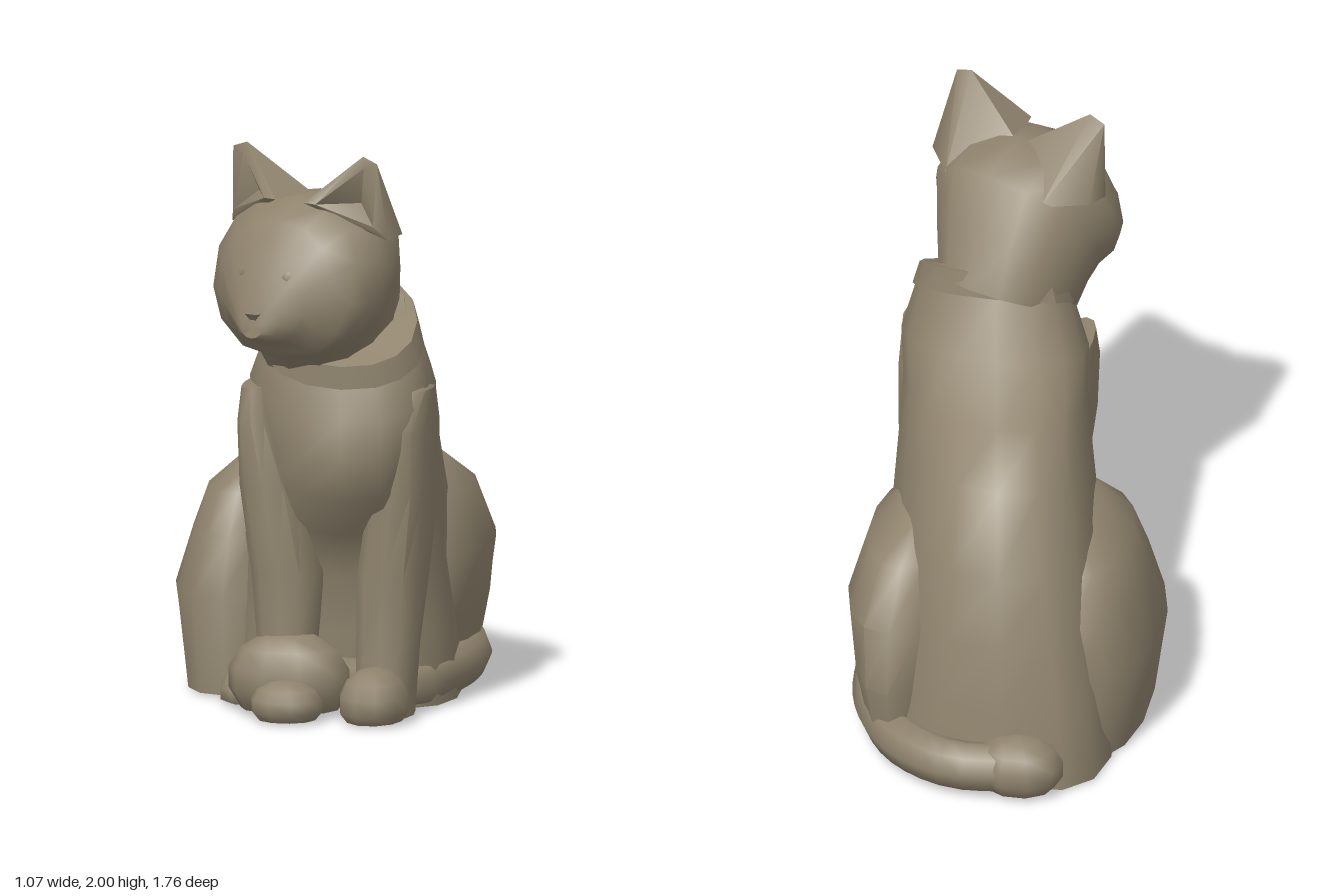
import * as THREE from 'three';
import { toCreasedNormals } from 'three/addons/utils/BufferGeometryUtils.js';

const stone = new THREE.MeshStandardMaterial({ color: 0x8f836d, side: THREE.DoubleSide });
stone.name = 'stone brown';

// Loft through oval rings. Each row: [za, ya, zb, yb, halfWidth, centreX, power];
// a and b are the two ends of the ring in the side plane, a lower power is boxier.
function loft(rows, { n = 14, shear = () => 0, crease = 0.8 } = {}) {
  const pos = [], idx = [];
  const add = (x, y, z) => pos.push(x + shear(z), y, z);
  for (const [za, ya, zb, yb, w, cx = 0, power = 0.9] of rows) {
    const sq = (v) => Math.sign(v) * Math.abs(v) ** power;
    for (let j = 0; j < n; j++) {
      const t = (j / n) * Math.PI * 2, s = sq(Math.sin(t)), c = sq(Math.cos(t));
      add(cx + w * s, (ya + yb) / 2 + ((yb - ya) / 2) * c, (za + zb) / 2 + ((zb - za) / 2) * c);
    }
  }
  for (let i = 0; i < rows.length - 1; i++) {
    for (let j = 0; j < n; j++) {
      const k = (j + 1) % n, a = i * n + j, b = i * n + k;
      idx.push(a, b, b + n, a, b + n, a + n);
    }
  }
  // end caps
  for (const i of [0, rows.length - 1]) {
    const [za, ya, zb, yb, , cx = 0] = rows[i];
    const centre = pos.length / 3;
    add(cx, (ya + yb) / 2, (za + zb) / 2);
    for (let j = 0; j < n; j++) {
      const a = i * n + j, b = i * n + ((j + 1) % n);
      if (i === 0) idx.push(centre, b, a);
      else idx.push(centre, a, b);
    }
  }
  const g = new THREE.BufferGeometry();
  g.setAttribute('position', new THREE.Float32BufferAttribute(pos, 3));
  g.setIndex(idx);
  return toCreasedNormals(g, crease);
}

// Upright loft rows: [y, centreX, centreZ, radiusX, radiusZ]
const upright = (rows, power, opts) =>
  loft(rows.map(([y, x, z, rx, rz]) => [z - rz, y, z + rz, y, rx, x, power]), opts);

function part(parent, name, geometry) {
  const mesh = new THREE.Mesh(geometry, stone);
  mesh.name = name;
  parent.add(mesh);
  return mesh;
}

// Low-poly ellipsoid, flattened where it would go below the ground
function blob(parent, name, [x, y, z], [rx, ry, rz]) {
  const g = new THREE.SphereGeometry(1, 10, 7);
  g.scale(rx, ry, rz).translate(x, y, z);
  const p = g.attributes.position;
  for (let i = 0; i < p.count; i++) p.setY(i, Math.max(p.getY(i), 0.01));
  return part(parent, name, g);
}

// Ear: full-backed shell with a hollow front
function earGeometry(side) {
  const pts = [
    [0.25, 2.0, 0.09], [0.31, 1.98, 0.09], [0.335, 1.71, 0.06],   // tip in, tip out, outer base
    [0.06, 1.83, 0.18], [0.2, 1.72, -0.14], [0.22, 1.83, 0.06],   // inner base, back base, pit
    [0.26, 1.96, 0.1], [0.3, 1.76, 0.1], [0.11, 1.83, 0.18],      // rim of the hollow
    [0.01, 1.83, 0.02], [0.33, 1.72, -0.03],                      // back inner, back outer
  ];
  const faces = [
    [0, 4, 1], [1, 4, 10], [1, 10, 2], [0, 3, 9], [0, 9, 4],                     // back
    [0, 1, 6], [1, 2, 7], [1, 7, 6], [0, 6, 8], [0, 8, 3], [2, 3, 8], [2, 8, 7], // rim
    [6, 7, 5], [7, 8, 5], [8, 6, 5],                                             // hollow
  ];
  const pos = [];
  for (const f of faces) {
    for (const i of side > 0 ? f : [...f].reverse()) pos.push(side * pts[i][0], pts[i][1], pts[i][2]);
  }
  const g = new THREE.BufferGeometry();
  g.setAttribute('position', new THREE.Float32BufferAttribute(pos, 3));
  return toCreasedNormals(g, 0.9);
}

export function createModel() {
  const cat = new THREE.Group();
  cat.name = 'sittingCat';
  const shear = (z) => 0.08 + 0.2 * z; // the spine runs slightly askew

  // torso, from the ground up to the neck
  part(cat, 'torso', loft([
    [-0.77, 0.01, 0.4, 0.01, 0.42, 0, 0.65],
    [-0.74, 0.3, 0.43, 0.28, 0.4, 0, 0.68],
    [-0.69, 0.52, 0.44, 0.48, 0.375, 0, 0.74],
    [-0.62, 0.76, 0.52, 0.64, 0.365, 0, 0.82],
    [-0.47, 1.02, 0.66, 0.78, 0.34],
    [-0.28, 1.16, 0.69, 0.92, 0.325],
    [0.0, 1.25, 0.66, 1.06, 0.33],
    [0.14, 1.42, 0.62, 1.18, 0.28],
    [0.18, 1.52, 0.6, 1.26, 0.23],
  ], { n: 16, shear, crease: 1 }));

  part(cat, 'collar', loft([
    [0.17, 1.41, 0.6, 1.18, 0.26],
    [0.14, 1.42, 0.64, 1.17, 0.29],
    [0.16, 1.51, 0.64, 1.25, 0.265],
    [0.2, 1.5, 0.6, 1.27, 0.23],
  ], { n: 16, shear, crease: 0.5 }));

  // haunches
  part(cat, 'leftHaunch', upright([
    [0.02, 0.33, -0.26, 0.12, 0.38], [0.28, 0.34, -0.26, 0.165, 0.42], [0.5, 0.34, -0.25, 0.2, 0.38],
    [0.7, 0.32, -0.21, 0.16, 0.3], [0.8, 0.3, -0.17, 0.08, 0.18], [0.82, 0.28, -0.16, 0.03, 0.08],
  ], 0.9));
  part(cat, 'rightHaunch', upright([
    [0.01, -0.29, -0.15, 0.2, 0.41], [0.35, -0.3, -0.17, 0.24, 0.42], [0.55, -0.29, -0.18, 0.19, 0.38],
    [0.7, -0.27, -0.16, 0.155, 0.3], [0.8, -0.23, -0.12, 0.08, 0.17], [0.83, -0.2, -0.1, 0.03, 0.08],
  ], 0.9));
  blob(cat, 'rightHindPaw', [-0.19, 0.04, 0.27], [0.11, 0.09, 0.2]);

  // front legs and paws
  part(cat, 'leftFrontLeg', upright([
    [0.01, 0.33, 0.48, 0.1, 0.13], [0.25, 0.335, 0.46, 0.11, 0.12], [0.5, 0.345, 0.42, 0.12, 0.17],
    [0.8, 0.375, 0.38, 0.11, 0.21], [1.02, 0.38, 0.4, 0.11, 0.2], [1.15, 0.38, 0.41, 0.105, 0.14],
    [1.22, 0.34, 0.4, 0.06, 0.06],
  ], 0.8, { n: 12 }));
  part(cat, 'rightFrontLeg', upright([
    [0.01, -0.01, 0.48, 0.1, 0.13], [0.25, -0.02, 0.46, 0.105, 0.12], [0.5, -0.025, 0.42, 0.125, 0.17],
    [0.8, -0.08, 0.38, 0.115, 0.21], [1.02, -0.125, 0.38, 0.075, 0.2], [1.14, -0.14, 0.38, 0.05, 0.14],
  ], 0.8, { n: 12 }));
  blob(cat, 'leftFrontPaw', [0.32, 0.07, 0.61], [0.125, 0.125, 0.17]);
  blob(cat, 'rightFrontPaw', [0.02, 0.06, 0.66], [0.13, 0.09, 0.12]);

  // tail around the left side, its end resting over the right paw
  const path = new THREE.CatmullRomCurve3([
    [-0.16, 0.1, -0.76], [0.08, 0.1, -0.78], [0.28, 0.095, -0.66], [0.41, 0.09, -0.43],
    [0.45, 0.09, -0.18], [0.435, 0.09, 0.1], [0.38, 0.09, 0.31], [0.2, 0.1, 0.42], [0.05, 0.13, 0.5],
  ].map((p) => new THREE.Vector3(...p)));
  part(cat, 'tail', new THREE.TubeGeometry(path, 28, 0.088, 8));
  blob(cat, 'tailBase', [-0.14, 0.1, -0.75], [0.16, 0.12, 0.125]);
  blob(cat, 'tailTip', [0.0, 0.13, 0.53], [0.22, 0.17, 0.15]);

  // head, turned a little toward its right
  const head = new THREE.Group();
  head.name = 'head';
  head.position.set(0.105, 0, 0.5);
  head.rotation.y = -0.42;
  cat.add(head);
  part(head, 'skull', loft([
    [-0.37, 1.45, 0.1, 1.21, 0.23, -0.06],
    [-0.28, 1.63, 0.15, 1.26, 0.275, -0.03],
    [-0.17, 1.79, 0.2, 1.28, 0.32],
    [0.0, 1.85, 0.25, 1.29, 0.335],
    [0.14, 1.84, 0.27, 1.31, 0.305],
    [0.24, 1.77, 0.29, 1.33, 0.24],
    [0.315, 1.65, 0.32, 1.35, 0.17],
    [0.36, 1.55, 0.37, 1.36, 0.1],
    [0.39, 1.46, 0.405, 1.38, 0.045],
  ], { crease: 1 }));
  part(head, 'nose', new THREE.ConeGeometry(0.04, 0.05, 5).rotateX(Math.PI).translate(0, 1.44, 0.375));
  for (const side of [1, -1]) {
    const label = side > 0 ? 'left' : 'right';
    part(head, label + 'Ear', earGeometry(side));
    const eye = part(head, label + 'Eye', new THREE.SphereGeometry(1, 8, 6));
    eye.scale.set(0.065, 0.035, 0.02);
    eye.position.set(side * 0.125, 1.59, 0.295);
    eye.rotation.set(-0.3, side * 0.6, side * 0.2);
  }
  return cat;
}
